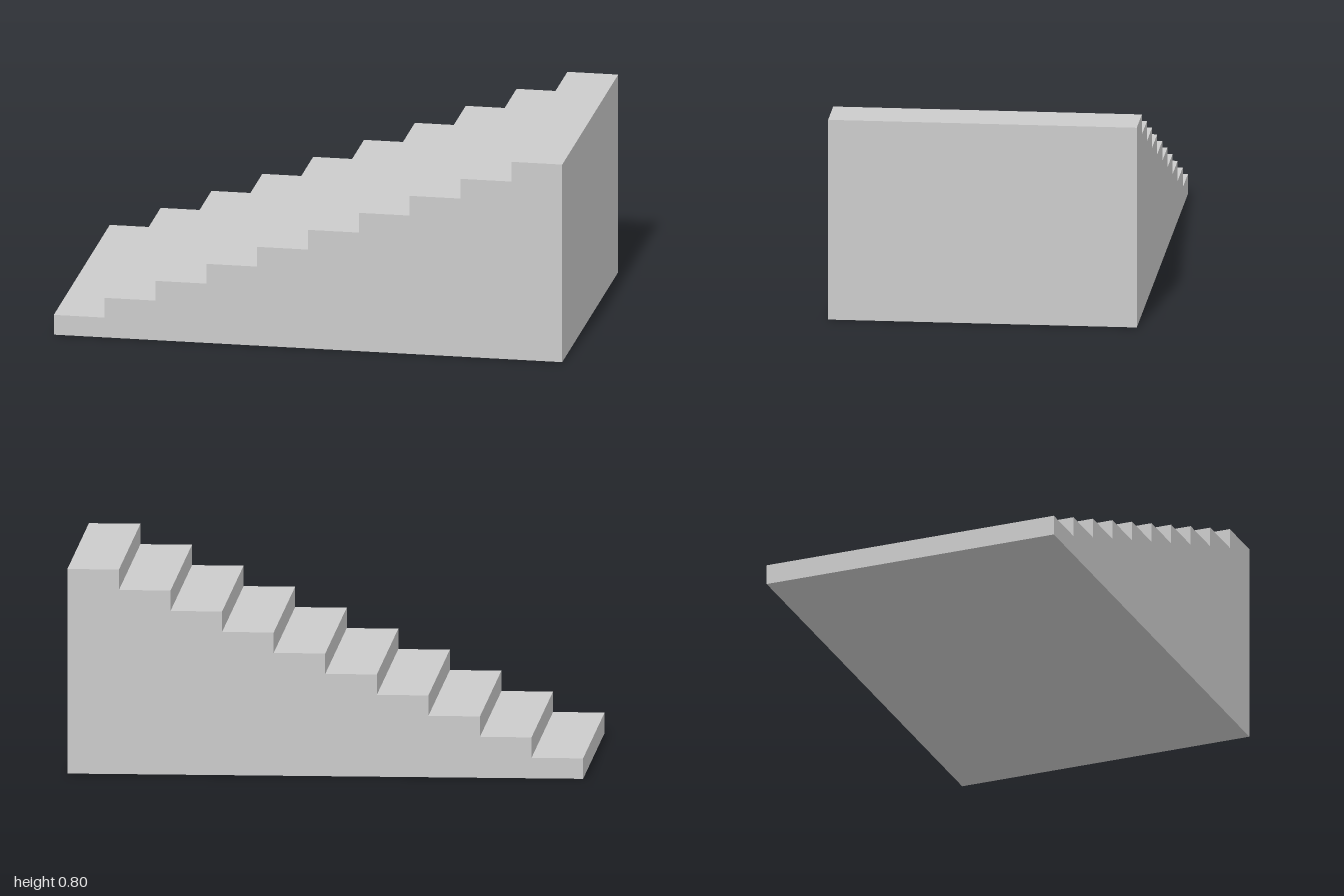
import * as THREE from 'three';

const STEPS = 10, RUN = 0.2, RISE = 0.08, WIDTH = 1.2;

export function createModel() {
  const group = new THREE.Group();
  group.name = 'staircase';

  // Stepped side profile, climbing towards +x
  const profile = new THREE.Shape();
  profile.moveTo(-1, 0);
  profile.lineTo(1, 0);
  for (let i = STEPS; i > 0; i--) {
    profile.lineTo(-1 + i * RUN, i * RISE);
    profile.lineTo(-1 + (i - 1) * RUN, i * RISE);
  }
  profile.closePath();

  // Solid flight of steps, extruded across its width
  const geometry = new THREE.ExtrudeGeometry(profile, { depth: WIDTH, bevelEnabled: false });
  geometry.translate(0, 0, -WIDTH / 2);
  const steps = new THREE.Mesh(
    geometry,
    new THREE.MeshStandardMaterial({ color: 0xcccccc, flatShading: true })
  );
  steps.name = 'steps';
  group.add(steps);
  return group;
}
